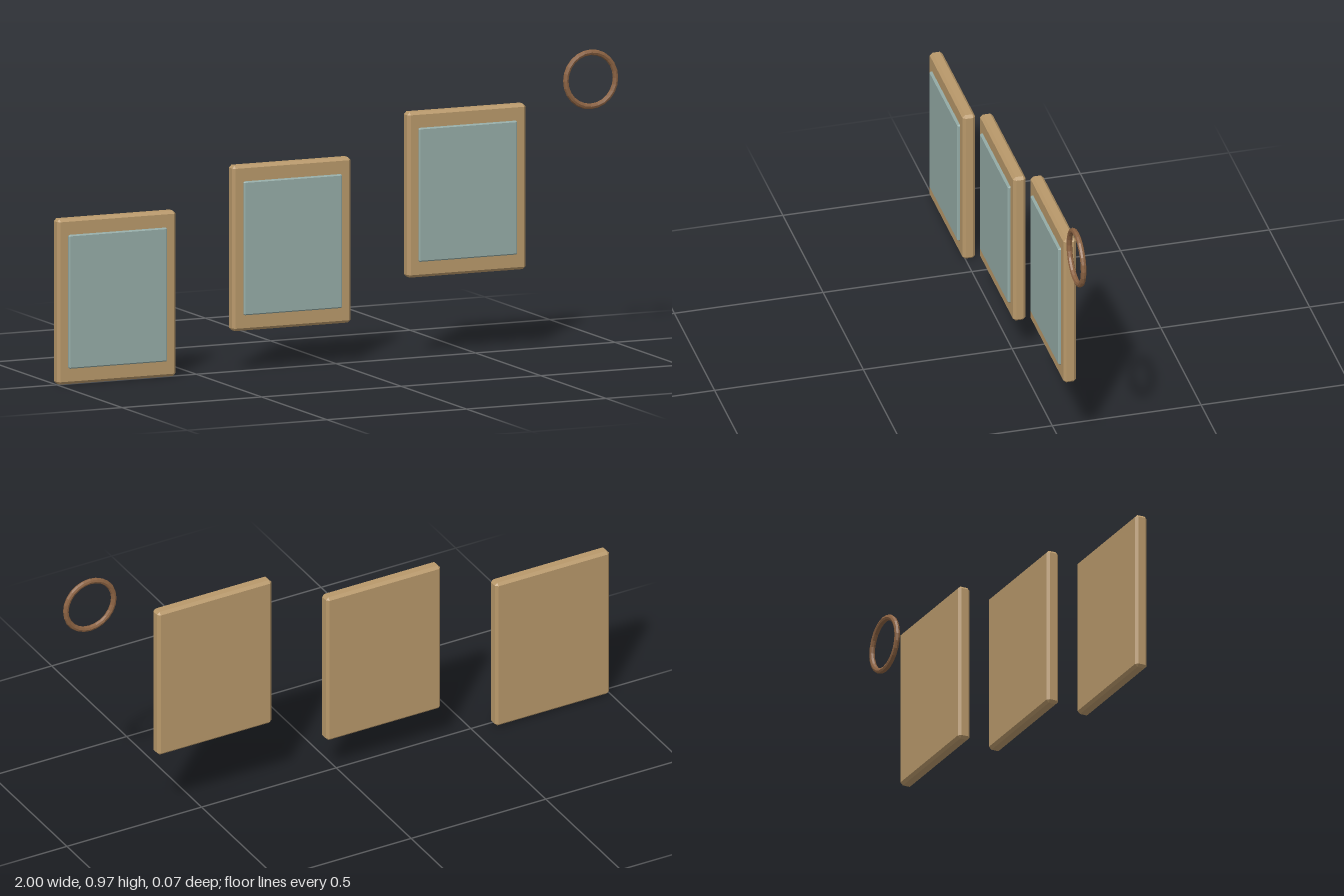
import * as THREE from 'three';
import { ConvexGeometry } from 'three/addons/geometries/ConvexGeometry.js';

// Box with all twelve edges cut by a chamfer c
function chamferBox(w, h, d, c) {
  const half = [w / 2, h / 2, d / 2];
  const points = [];
  for (const sx of [-1, 1]) for (const sy of [-1, 1]) for (const sz of [-1, 1]) {
    for (let axis = 0; axis < 3; axis++) {
      const p = [sx, sy, sz].map((s, i) => s * (half[i] - (i === axis ? 0 : c)));
      points.push(new THREE.Vector3(...p));
    }
  }
  return new ConvexGeometry(points);
}

function material(name, color) {
  const m = new THREE.MeshStandardMaterial({ color });
  m.name = name;
  return m;
}

export function createModel() {
  const group = new THREE.Group();
  group.name = 'wallFrames';

  const wood = material('tanWood', 0xb8986a);
  const glass = material('greyGreenGlass', 0x94aba6);
  const bronze = material('brownRing', 0x8c6343);
  bronze.flatShading = true;

  const add = (parent, name, geometry, mat, x, y, z) => {
    const mesh = new THREE.Mesh(geometry, mat);
    mesh.name = name;
    mesh.position.set(x, y, z);
    parent.add(mesh);
  };

  // Three framed panels rising in steps towards +x
  const frameGeometry = chamferBox(0.424, 0.544, 0.043, 0.009);
  const panelGeometry = chamferBox(0.352, 0.44, 0.018, 0.004);
  for (let i = 0; i < 3; i++) {
    const unit = new THREE.Group();
    unit.name = `framedPanel${i + 1}`;
    unit.position.set(-0.787 + i * 0.627, 0.272 + i * 0.132, 0);
    add(unit, 'frame', frameGeometry, wood, 0, 0, -0.0125);
    add(unit, 'panel', panelGeometry, glass, 0, 0, 0.009);
    group.add(unit);
  }

  // Small ring past the highest panel
  add(group, 'ring', new THREE.TorusGeometry(0.089, 0.0095, 8, 24), bronze, 0.9, 0.876, 0.027);

  return group;
}
